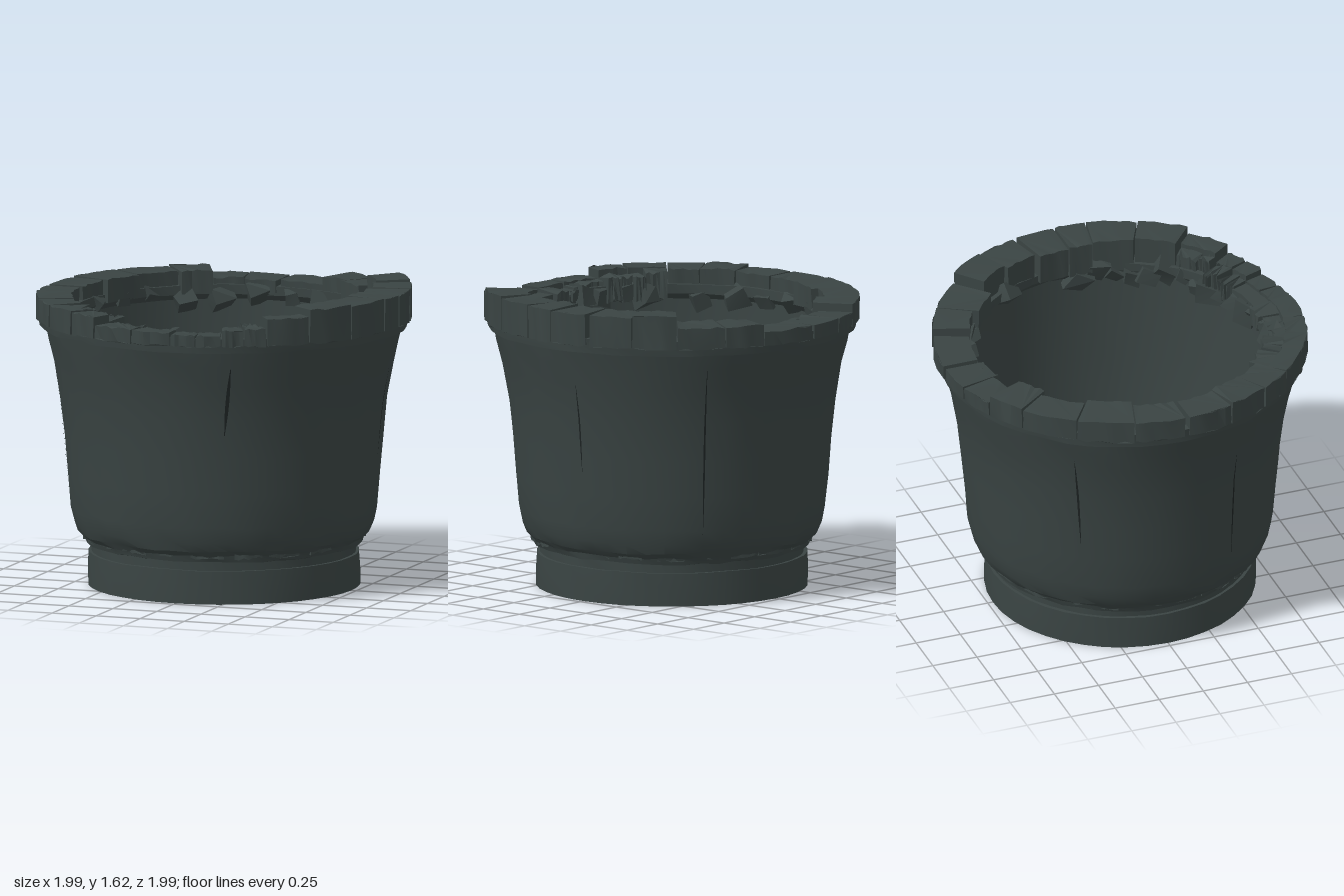
import * as THREE from 'three';
import { toCreasedNormals } from 'three/addons/utils/BufferGeometryUtils.js';

const stone = new THREE.MeshStandardMaterial({ color: 0x3a4443 });
stone.name = 'dark stone';
const crackMat = new THREE.MeshStandardMaterial({ color: 0x1d2323 });
crackMat.name = 'crack shadow';

const rad = THREE.MathUtils.degToRad;
let seed = 7;
const rnd = () => {
  seed = (seed * 16807) % 2147483647;
  return seed / 2147483647;
};
const hash = (a, b, c) => {
  const s = Math.sin(a * 12.99 + b * 78.23 + c * 37.72) * 43758.55;
  return (s - Math.floor(s)) * 2 - 1;
};

// Chip the surface: equal positions always move equally, so seams stay closed
function roughen(geo, amount, amountY = amount) {
  const p = geo.attributes.position;
  for (let i = 0; i < p.count; i++) {
    const x = Math.round(p.getX(i) * 500), y = Math.round(p.getY(i) * 500), z = Math.round(p.getZ(i) * 500);
    const s = 1 + hash(x, y, z) * amount;
    p.setXYZ(i, p.getX(i) * s, Math.max(0, p.getY(i) + (y > 1 ? hash(z, x, y) * amountY : 0)), p.getZ(i) * s);
  }
  return toCreasedNormals(geo, 0.4);
}

// Closed ring turned from a profile of [radius, height]
const turned = (profile, amount, amountY, segments = 48) =>
  roughen(new THREE.LatheGeometry([...profile, profile[0]].map(([r, y]) => new THREE.Vector2(r, y)), segments), amount, amountY);

// Curved block between two azimuths (0 = +x, 90 = +z)
function arcBlock(a0, a1, rIn, rOut, y0, y1) {
  const s = new THREE.Shape();
  s.absarc(0, 0, rOut, rad(a0), rad(a1), false);
  s.absarc(0, 0, rIn, rad(a1), rad(a0), true);
  const g = new THREE.ExtrudeGeometry(s, { depth: y1 - y0, bevelEnabled: false, curveSegments: 3 });
  return g.rotateX(Math.PI / 2).translate(0, y1, 0);
}

// Rim height by azimuth
function rimHeight(a) {
  if (a < 42 || a > 318) return 1.612;
  if (a < 56) return 1.585;
  if (a < 70) return 1.525;
  if (a < 86) return 1.49;
  if (a < 113) return 1.51;
  if (a < 245) return 1.555;
  if (a < 290) return 1.51;
  return 1.55;
}

const outer = [
  [0.7, 0.17], [0.7, 0.225], [0.735, 0.23], [0.745, 0.26], [0.775, 0.29], [0.795, 0.34], [0.812, 0.42],
  [0.828, 0.6], [0.846, 0.8], [0.866, 1], [0.902, 1.2], [0.93, 1.31], [0.95, 1.4],
];

// Body radius at a height
function bodyRadius(y) {
  const i = outer.findIndex((p) => p[1] > y);
  const [r0, y0] = outer[i - 1], [r1, y1] = outer[i];
  return r0 + ((r1 - r0) * (y - y0)) / (y1 - y0);
}

export function createModel() {
  const pot = new THREE.Group();
  pot.name = 'brokenStonePot';
  const add = (name, geo, mat = stone, parent = pot) => {
    const m = new THREE.Mesh(geo, mat);
    m.name = name;
    parent.add(m);
    return m;
  };
  const group = (name) => {
    const g = new THREE.Group();
    g.name = name;
    pot.add(g);
    return g;
  };

  // Hollow body wall, open at the bottom
  const inner = [[0.83, 1.4], [0.82, 1.2], [0.79, 0.9], [0.755, 0.55], [0.72, 0.38], [0.67, 0.34], [0.65, 0.24], [0.62, 0.17]];
  add('body', turned([...outer, ...inner], 0.004, 0.006));

  // Foot ring, and the worn band above it
  add('foot', turned([[0.6, 0], [0.722, 0], [0.722, 0.09], [0.718, 0.178], [0.6, 0.178]], 0.003, 0.002, 40));
  const band = group('wornBand');
  for (let i = 0; i < 22; i++) {
    const a = i * 16.4 + rnd() * 5;
    const y = 0.245 + rnd() * 0.012;
    add('bandChip', roughen(arcBlock(a, a + 9 + rnd() * 7, 0.7, 0.735 + rnd() * 0.02, y, y + 0.035), 0.008), stone, band);
  }

  // Continuous lower part of the rim
  add('rimBase', turned([[0.82, 1.39], [0.975, 1.39], [0.982, 1.44], [0.985, 1.47], [0.79, 1.47], [0.79, 1.42]], 0.004, 0.003));

  // Broken blocks along the rim, with gaps at the main cracks
  const rim = group('rimBlocks');
  const cuts = [-14, 0, 10, 26, 42, 56, 63, 70, 78, 86, 99, 113, 124, 138, 150, 164, 179, 196, 214, 232, 245, 257, 270, 290, 303, 318, 332, 346];
  for (let i = 0; i < cuts.length - 1; i++) {
    const mid = (((cuts[i] + cuts[i + 1]) / 2) + 360) % 360;
    const top = rimHeight(mid) - rnd() * 0.012;
    const gap = [179, 270, 346, -14].includes(cuts[i]) ? 1.3 : 0.25;
    const rIn = 0.755 + rnd() * 0.06;
    const worn = mid > 42 && mid < 140;
    const a0 = cuts[i] + gap, a1 = cuts[i + 1] - 0.25;
    add('rimBlock', roughen(arcBlock(a0, a1, worn ? 0.88 : rIn, 0.993, 1.43, top), 0.006, 0.006), stone, rim);
    // Worn blocks drop to lower, uneven stones on the inside
    if (worn) {
      const split = a0 + (a1 - a0) * (0.35 + rnd() * 0.3);
      add('innerStone', roughen(arcBlock(a0, split, rIn, 0.885, 1.39, top - 0.01 - rnd() * 0.03), 0.015, 0.012), stone, rim);
      add('innerStone', roughen(arcBlock(split, a1, rIn + 0.02, 0.885, 1.39, top - 0.01 - rnd() * 0.03), 0.015, 0.012), stone, rim);
    }
  }

  // Loose rubble clinging under the inner edge of the rim
  const rubble = group('rimRubble');
  for (let i = 0; i < 34; i++) {
    const a = rad(i < 20 ? 5 + i * 6.6 : 150 + (i - 20) * 14);
    const size = 0.055 + rnd() * 0.05;
    const r = 0.795 + rnd() * 0.02;
    const stoneGeo = roughen(new THREE.BoxGeometry(size, size * 1.1, size * 1.3).translate(0, 1, 0), 0.3, 0.02).translate(0, -1, 0);
    const m = add('rubbleStone', stoneGeo, stone, rubble);
    m.position.set(Math.cos(a) * r, 1.38 + rnd() * 0.06, Math.sin(a) * r);
    m.rotation.set(rnd() * 0.6, -a + rnd() * 0.6, rnd() * 0.8);
  }

  // Thin crusted ring inside the base, held by eight sloping brackets
  add('innerRing', turned([[0.51, 0.14], [0.545, 0.14], [0.55, 0.18], [0.535, 0.21], [0.51, 0.2]], 0.018, 0.012, 60));
  const brackets = group('brackets');
  for (let i = 0; i < 8; i++) {
    const holder = new THREE.Group();
    holder.name = 'bracket';
    holder.rotation.y = (i * Math.PI) / 4;
    brackets.add(holder);
    const arm = add('bracketArm', new THREE.BoxGeometry(0.22, 0.04, 0.06), stone, holder);
    arm.position.set(0.6, 0.26, 0);
    arm.rotation.z = 0.75;
    const clip = add('bracketClip', new THREE.BoxGeometry(0.07, 0.09, 0.085), stone, holder);
    clip.position.set(0.68, 0.37, 0);
  }

  // Ledge stones around the inside of the base
  const ledge = group('ledgeStones');
  for (let i = 0; i < 24; i++) {
    const a = i * 15 + rnd() * 4;
    const top = 0.37 + rnd() * 0.04;
    add('ledgeStone', roughen(arcBlock(a, a + 8 + rnd() * 5, 0.645 + rnd() * 0.03, 0.74, 0.32, top), 0.01), stone, ledge);
  }

  // Narrow cracks in the wall: [azimuth, bottom, top, half width, lean]
  const cracks = group('wallCracks');
  const list = [[69, 0.93, 1.3, 0.01, -2], [-6, 0.72, 1.2, 0.005, 0], [-52, 0.4, 1.32, 0.005, 0], [155, 0.5, 1.15, 0.005, 2], [215, 0.7, 1.25, 0.006, 1]];
  for (const [az, y0, y1, half, lean] of list) {
    const pos = [], index = [];
    for (let k = 0; k <= 8; k++) {
      const t = k / 8, y = y0 + (y1 - y0) * t, r = bodyRadius(y) + 0.004;
      const w = half * Math.sin(Math.PI * (0.04 + 0.92 * t));
      for (const side of [-1, 1]) {
        const a = rad(az + lean * t) + (side * w) / r;
        pos.push(Math.cos(a) * r, y, Math.sin(a) * r);
      }
      if (k) index.push(2 * k - 2, 2 * k, 2 * k - 1, 2 * k - 1, 2 * k, 2 * k + 1);
    }
    const g = new THREE.BufferGeometry();
    g.setAttribute('position', new THREE.Float32BufferAttribute(pos, 3));
    g.setIndex(index);
    g.computeVertexNormals();
    add('wallCrack', g, crackMat, cracks);
  }
  return pot;
}
